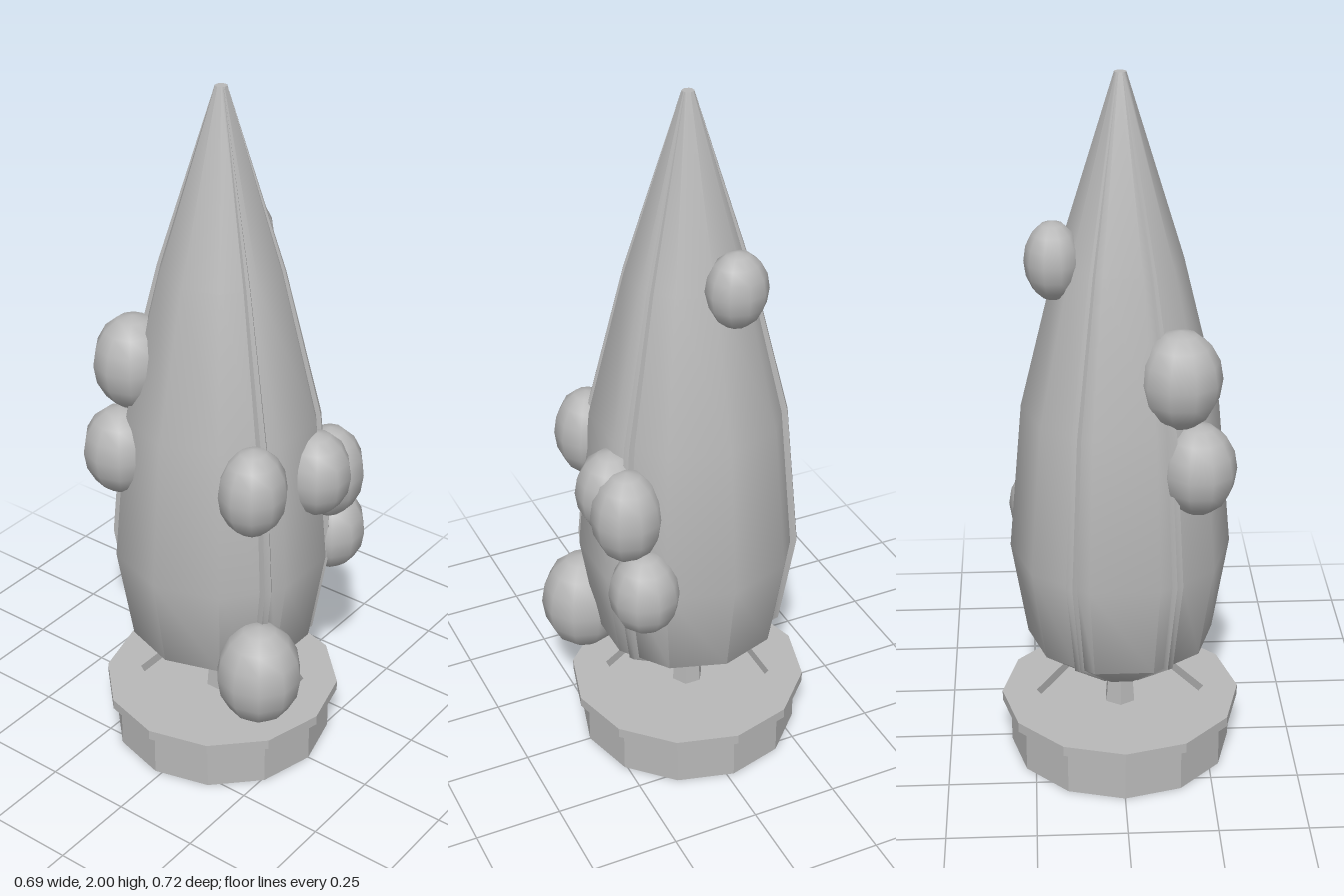
import * as THREE from 'three';
import { toCreasedNormals } from 'three/addons/utils/BufferGeometryUtils.js';

const CENTRE_Z = -0.02;

// Regular polygon path with a corner on the x axis
function polygon(PathType, radius, sides) {
  const path = new PathType();
  for (let i = 0; i < sides; i++) {
    const a = (i / sides) * Math.PI * 2;
    if (i === 0) path.moveTo(radius, 0);
    else path.lineTo(radius * Math.cos(a), radius * Math.sin(a));
  }
  path.closePath();
  return path;
}

// Ten-sided cross-section, with four slim raised ribs near the diagonals
function crownSection() {
  const rad = THREE.MathUtils.degToRad;
  const points = [];
  for (let i = 0; i < 10; i++) points.push([i * 36, 1]);
  const rib = [[58, 0.953], [59.5, 1.01], [63, 1.01], [64.5, 0.967]];
  for (const [a, r] of rib) {
    points.push([a, r], [180 - a, r], [180 + a, r], [360 - a, r]);
  }
  points.sort((p, q) => p[0] - q[0]);
  return points.map(([a, r]) => [r * Math.cos(rad(a)), r * Math.sin(rad(a))]);
}

// Lofts the section through [radius, height] levels and closes both ends
function loft(section, levels) {
  const n = section.length;
  const positions = [];
  const index = [];
  for (const [r, y] of levels) {
    for (const [x, z] of section) positions.push(x * r, y, z * r);
  }
  const bottom = positions.length / 3;
  const top = bottom + 1;
  const last = levels.length - 1;
  positions.push(0, levels[0][1], 0, 0, levels[last][1], 0);
  for (let i = 0; i < n; i++) {
    const k = (i + 1) % n;
    for (let j = 0; j < last; j++) {
      const a = j * n + i, b = a + n, c = (j + 1) * n + k, d = j * n + k;
      index.push(a, b, c, a, c, d);
    }
    index.push(bottom, i, k, top, last * n + k, last * n + i);
  }
  const geometry = new THREE.BufferGeometry();
  geometry.setAttribute('position', new THREE.Float32BufferAttribute(positions, 3));
  geometry.setIndex(index);
  return toCreasedNormals(geometry, 0.8);
}

export function createModel() {
  const model = new THREE.Group();
  const grey = new THREE.MeshStandardMaterial({ color: 0xb8b8b8 });
  grey.name = 'plain grey';

  const add = (name, geometry, x = 0, y = 0, z = CENTRE_Z) => {
    const mesh = new THREE.Mesh(geometry, grey);
    mesh.name = name;
    mesh.position.set(x, y, z);
    model.add(mesh);
    return mesh;
  };
  const faceted = (geometry) => toCreasedNormals(geometry, 0.1);

  // Twelve-sided pot; its top is the floor of the hexagonal opening
  add('pot', faceted(new THREE.CylinderGeometry(0.32, 0.32, 0.135, 12)), 0, 0.0675);
  const rimShape = polygon(THREE.Shape, 0.345, 12);
  rimShape.holes.push(polygon(THREE.Path, 0.245, 6));
  const rim = new THREE.ExtrudeGeometry(rimShape, { depth: 0.03, bevelEnabled: false });
  rim.rotateX(-Math.PI / 2);
  add('potRim', rim, 0, 0.135);

  // Short trunk
  add('trunk', faceted(new THREE.CylinderGeometry(0.036, 0.048, 0.16, 6)), 0, 0.2);

  // Tapered crown
  add('crown', loft(crownSection(), [
    [0.1, 0.245], [0.265, 0.37], [0.31, 0.65], [0.272, 1.08], [0.17, 1.5], [0.016, 2],
  ]));

  // Foliage clumps: centre, then radii
  const clumps = [
    [-0.17, 0.39, 0.24, 0.12, 0.155, 0.122],
    [-0.165, 0.97, 0.21, 0.1, 0.13, 0.094],
    [0.08, 0.925, 0.245, 0.1, 0.125, 0.1],
    [0.16, 0.89, 0.235, 0.1, 0.138, 0.1],
    [0.215, 0.665, 0.21, 0.1, 0.125, 0.1],
    [0.18, 1.515, -0.075, 0.076, 0.107, 0.086],
    [-0.15, 1.225, -0.205, 0.113, 0.137, 0.11],
    [-0.2, 0.97, -0.215, 0.105, 0.13, 0.108],
  ];
  const clumpGeometry = new THREE.SphereGeometry(1, 10, 8);
  for (const [x, y, z, rx, ry, rz] of clumps) {
    add('foliageClump', clumpGeometry, x, y, z).scale.set(rx, ry, rz);
  }
  return model;
}
